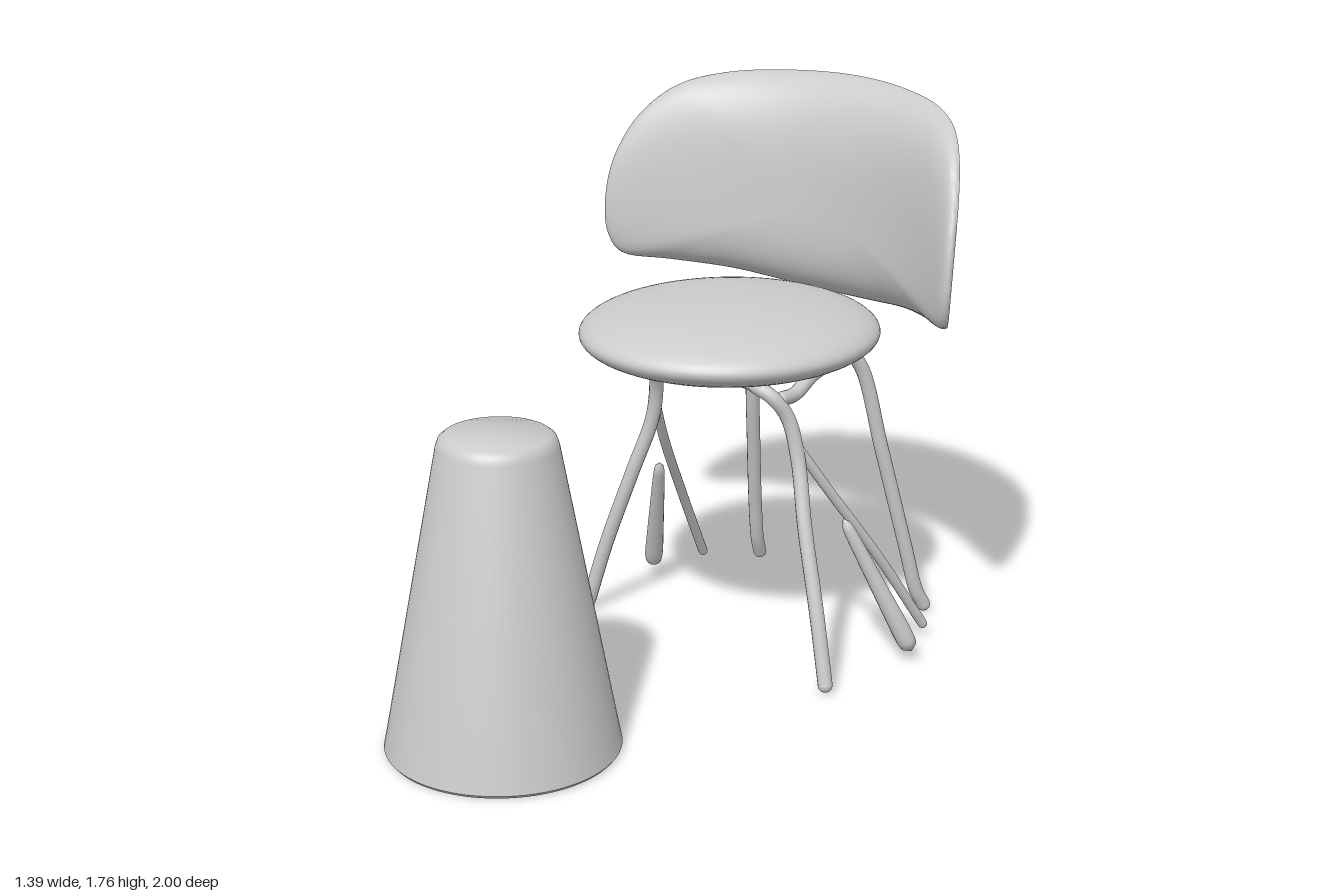
import * as THREE from 'three';
import { toCreasedNormals } from 'three/addons/utils/BufferGeometryUtils.js';

const grey = new THREE.MeshStandardMaterial({ color: 0xcccccc });
const V = (x, y, z) => new THREE.Vector3(x, y, z);

function add(parent, name, geometry) {
  const mesh = new THREE.Mesh(geometry, grey);
  mesh.name = name;
  parent.add(mesh);
  return mesh;
}

// Round bar along a smooth curve with ball ends; side = -1 mirrors it in x
function bar(parent, name, points, radius, side = 1) {
  const pts = points.map(([x, y, z]) => V(x * side, y, z));
  const group = new THREE.Group();
  group.name = name;
  const curve = new THREE.CatmullRomCurve3(pts, false, 'centripetal');
  add(group, 'barShaft', new THREE.TubeGeometry(curve, pts.length * 10, radius, 14));
  for (const p of [pts[0], pts[pts.length - 1]]) {
    add(group, 'barEnd', new THREE.SphereGeometry(radius, 14, 10)).position.copy(p);
  }
  parent.add(group);
}

// Backrest: rounded outline filled with rings, curved ruled back and padded front
function backrestGeometry() {
  const half = [[0, 1.765], [0.25, 1.755], [0.43, 1.735], [0.55, 1.695], [0.63, 1.61], [0.68, 1.48],
    [0.697, 1.33], [0.687, 1.2], [0.655, 1.135], [0.55, 1.112], [0.36, 1.09], [0.18, 1.068], [0, 1.06]];
  const loop = [...half, ...half.slice(1, -1).reverse().map(([x, y]) => [-x, y])];
  const outline = new THREE.CatmullRomCurve3(loop.map(([x, y]) => V(x, y, 0)), true, 'centripetal');
  const n = 112, rings = 24, cy = 1.36, pos = [], idx = [];
  const backZ = (x, y) => -0.955 - (y - 1.4) * 0.08 + 0.835 - Math.sqrt(0.835 ** 2 - x * x);
  const rim = Array.from({ length: n }, (_, i) => outline.getPoint(i / n));
  for (const front of [1, 0]) {
    const base = pos.length / 3;
    for (let r = 0; r <= rings; r++) {
      const s = Math.sin((r / rings) * Math.PI / 2);
      for (const p of rim) {
        const x = p.x * s, y = cy + (p.y - cy) * s;
        const pad = 0.155 * Math.sqrt(Math.max(0, 1 - s ** 3.2));
        pos.push(x, y, backZ(x, y) + front * pad);
      }
    }
    for (let r = 0; r < rings; r++) for (let i = 0; i < n; i++) {
      const a = base + r * n + i, b = base + r * n + (i + 1) % n, c = a + n, d = b + n;
      // The outline runs clockwise seen from the front
      const quad = front ? [a, d, c, a, b, d] : [a, c, d, a, d, b];
      idx.push(...(r === 0 ? quad.slice(0, 3) : quad));
    }
  }
  const g = new THREE.BufferGeometry();
  g.setAttribute('position', new THREE.Float32BufferAttribute(pos, 3));
  g.setIndex(idx);
  return toCreasedNormals(g, 0.8);
}

export function createModel() {
  const model = new THREE.Group();
  model.name = 'chairAndStand';

  // Tapered stand in front of the chair
  const cone = [[0, 0], [0.345, 0], [0.353, 0.01], [0.345, 0.05], [0.178, 0.94], [0.17, 0.962],
    [0.155, 0.974], [0, 0.976]].map(([x, y]) => new THREE.Vector2(x, y));
  add(model, 'taperedStand', toCreasedNormals(new THREE.LatheGeometry(cone, 72), 0.7)).position.set(0, 0, 0.645);

  const chair = new THREE.Group();
  chair.name = 'chair';
  model.add(chair);

  // Lens-shaped round seat cushion
  const lens = Array.from({ length: 33 }, (_, i) => {
    const a = -Math.PI / 2 + (i / 32) * Math.PI;
    return new THREE.Vector2(Math.max(0, 0.46 * Math.cos(a)), 0.108 * Math.sin(a));
  });
  const seat = add(chair, 'seat', new THREE.LatheGeometry(lens, 72));
  seat.position.set(0, 1.05, -0.38);
  seat.scale.z = 1.055;

  add(chair, 'backrest', backrestGeometry());

  // Small clip under the rear of the seat
  add(chair, 'rearClip', new THREE.BoxGeometry(0.18, 0.04, 0.05)).position.set(0, 1.025, -0.845);

  // Leg frame, mirrored on both sides
  for (const side of [1, -1]) {
    const legs = new THREE.Group();
    legs.name = side > 0 ? 'leftLegFrame' : 'rightLegFrame';
    chair.add(legs);
    bar(legs, 'frontLeg', [[0.5, 0.03, -0.26], [0.44, 0.25, -0.285], [0.36, 0.5, -0.32], [0.3, 0.7, -0.355],
      [0.27, 0.83, -0.34], [0.24, 0.9, -0.3], [0.19, 0.93, -0.28]], 0.023, side);
    bar(legs, 'rearLeg', [[0.25, 0.89, -0.33], [0.24, 0.885, -0.41], [0.22, 0.915, -0.52], [0.205, 0.93, -0.66],
      [0.21, 0.94, -0.72], [0.23, 0.88, -0.765], [0.27, 0.6, -0.83], [0.32, 0.25, -0.91],
      [0.34, 0.09, -0.95], [0.352, 0.03, -0.98]], 0.023, side);
    bar(legs, 'diagonalStrut', [[0.29, 0.74, -0.36], [0.34, 0.58, -0.46], [0.41, 0.33, -0.63], [0.47, 0.05, -0.81]], 0.016, side);

    // Loose tapered stick beside the legs
    const top = V(side * 0.39, 0.47, -0.49), foot = V(side * 0.545, 0.05, -0.635);
    const axis = top.clone().sub(foot), len = axis.length();
    const profile = Array.from({ length: 25 }, (_, i) => {
      const t = i / 24;
      const round = Math.min(1, Math.sqrt(Math.max(0, 1 - Math.abs(2 * t - 1) ** 12)));
      return new THREE.Vector2((0.033 - 0.015 * t) * round, (t - 0.5) * (len + 0.04));
    });
    const stick = add(legs, 'looseStick', new THREE.LatheGeometry(profile, 16));
    stick.position.copy(top).add(foot).multiplyScalar(0.5);
    stick.quaternion.setFromUnitVectors(V(0, 1, 0), axis.normalize());
  }

  // Cross bar joining the front legs under the seat
  bar(chair, 'crossBar', [[-0.2, 0.93, -0.28], [0, 0.935, -0.29], [0.2, 0.93, -0.28]], 0.018);

  return model;
}
